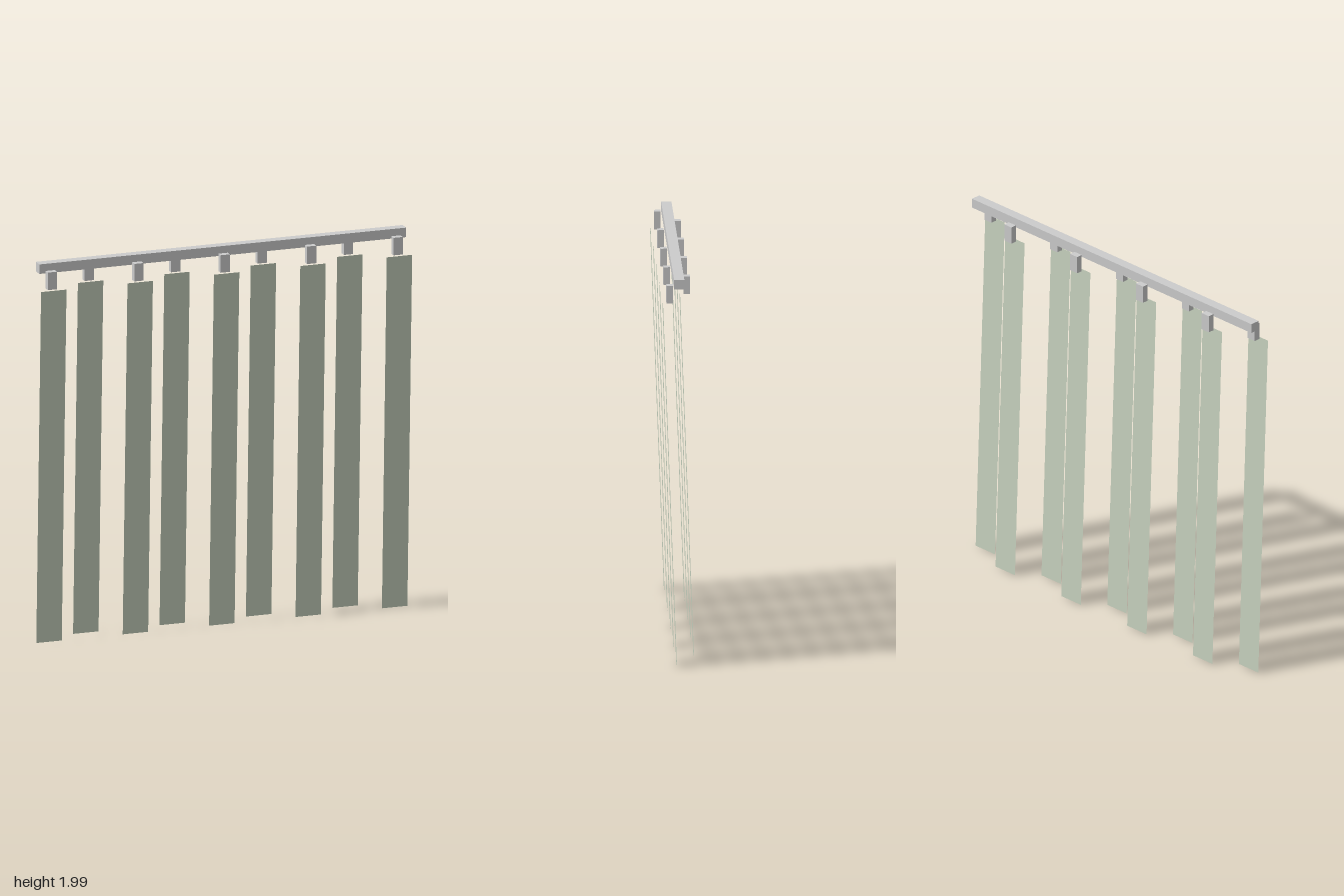
import * as THREE from 'three';

// Vertical blind: a head rail with carriers on alternating sides and slightly tilted slats
export function createModel() {
  const group = new THREE.Group();
  const grey = new THREE.MeshStandardMaterial({ color: 0xcccccc });
  const fabric = new THREE.MeshStandardMaterial({ color: 0xc5d0bd, side: THREE.DoubleSide });

  const add = (name, geometry, material, x, y, z) => {
    const mesh = new THREE.Mesh(geometry, material);
    mesh.name = name;
    mesh.position.set(x, y, z);
    group.add(mesh);
    return mesh;
  };

  // Head rail
  add('headRail', new THREE.BoxGeometry(1.974, 0.05, 0.052), grey, 0, 1.967, 0);

  const count = 9, spacing = 0.2325;
  const slatHeight = 1.863, slatLean = 0.07;
  const carrierGeometry = new THREE.BoxGeometry(0.05, 0.092, 0.033);
  const slatGeometry = new THREE.PlaneGeometry(0.137, Math.hypot(slatHeight, slatLean));

  for (let i = 0; i < count; i++) {
    const x = (i - (count - 1) / 2) * spacing;
    const z = i % 2 === 0 ? 0.047 : -0.047;
    // Carrier hanging beside the rail
    add('carrier', carrierGeometry, grey, x, 1.91, z);
    // Thin slat, its top leaning towards the front
    const slat = add('slat', slatGeometry, fabric, x, slatHeight / 2, z);
    slat.rotation.x = Math.atan2(slatLean, slatHeight);
  }
  return group;
}
